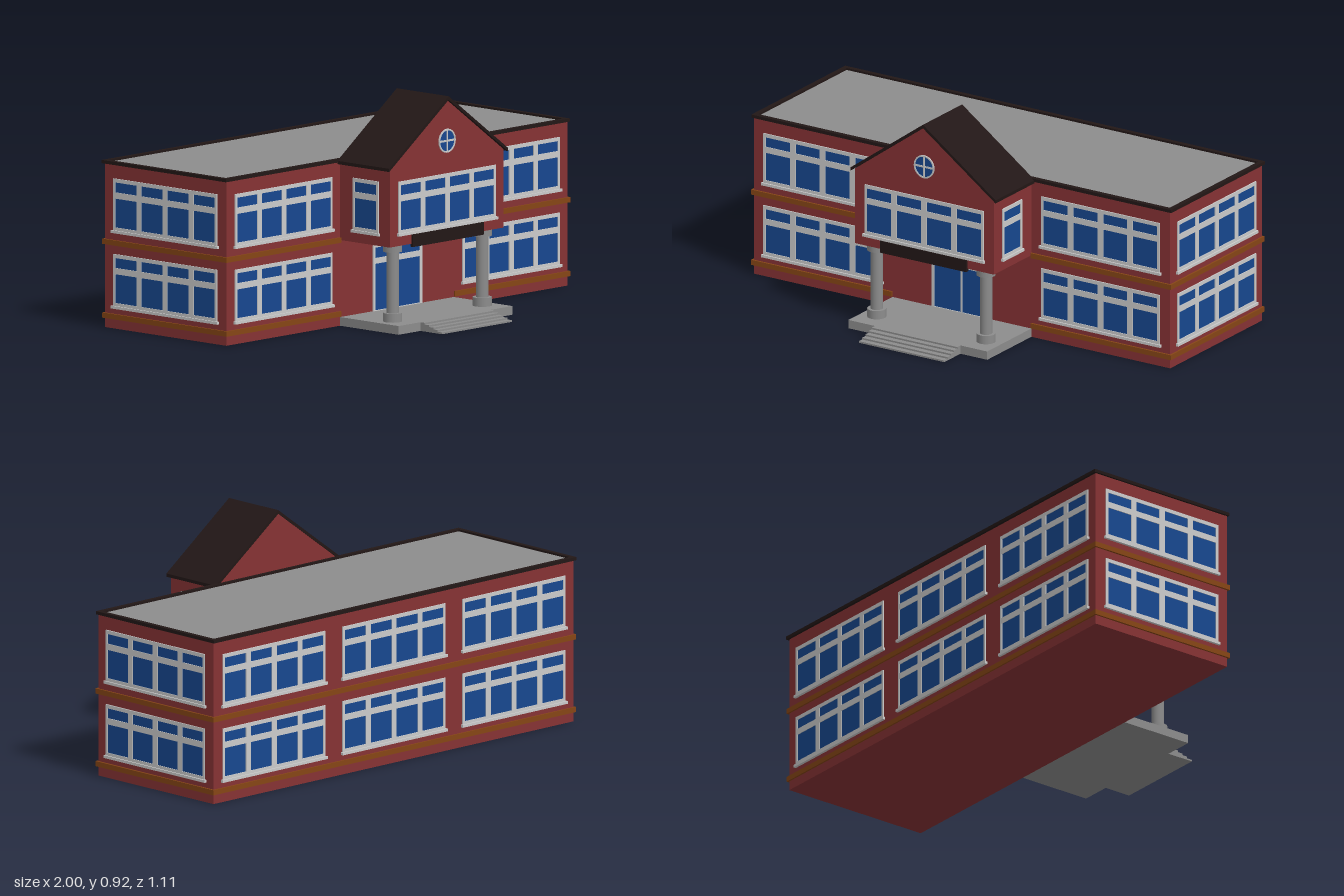
import * as THREE from 'three';

const mat = (color) => new THREE.MeshStandardMaterial({ color });

export function createModel() {
  const model = new THREE.Group();
  const brick = mat(0x863234), trim = mat(0xcccccc), stone = mat(0x8c8c8c);
  const glass = mat(0x17478f), brown = mat(0x864515), dark = mat(0x221716);

  const add = (name, geometry, material, parent = model) => {
    const mesh = new THREE.Mesh(geometry, material);
    mesh.name = name;
    parent.add(mesh);
    return mesh;
  };
  // Box given by its minimum and maximum corners
  const box = (name, material, x0, x1, y0, y1, z0, z1, parent) => {
    const mesh = add(name, new THREE.BoxGeometry(x1 - x0, y1 - y0, z1 - z0), material, parent);
    mesh.position.set((x0 + x1) / 2, (y0 + y1) / 2, (z0 + z1) / 2);
    return mesh;
  };
  const polygon = (points) => new THREE.Shape(points.map(([x, y]) => new THREE.Vector2(x, y)));
  const rect = (x0, x1, y0, y1) => [[x0, y0], [x1, y0], [x1, y1], [x0, y1]];
  const extrude = (shape, depth) =>
    new THREE.ExtrudeGeometry(shape, { depth, bevelEnabled: false, curveSegments: 16 });
  const framed = (outline, holes) => {
    const shape = polygon(outline);
    holes.forEach((h) => shape.holes.push(polygon(h)));
    return extrude(shape, 0.005);
  };

  // Window of one or more columns, each with a small pane over a tall pane
  const paneWidth = 0.116, pitch = 0.142;
  function addWindow(name, columns, x, y, z, turn) {
    const group = new THREE.Group();
    group.name = name;
    const half = (columns * pitch - 0.004) / 2;
    const holes = [];
    for (let i = 0; i < columns; i++) {
      const c = (i - (columns - 1) / 2) * pitch;
      holes.push(rect(c - paneWidth / 2, c + paneWidth / 2, 0.018, 0.134));
      holes.push(rect(c - paneWidth / 2, c + paneWidth / 2, 0.159, 0.199));
    }
    add('windowFrame', framed(rect(-half, half, 0, 0.214), holes), trim, group);
    box('windowGlass', glass, -half + 0.004, half - 0.004, 0.004, 0.21, -0.002, 0.002, group);
    box('windowSill', trim, -half - 0.007, half + 0.007, -0.005, 0.006, 0, 0.011, group);
    group.position.set(x, y, z);
    group.rotation.y = turn;
    model.add(group);
  }

  // Main block with flat roof and raised dark rim
  box('mainWalls', brick, -0.99, 0.99, 0, 0.66, -0.54, 0.12);
  box('flatRoof', stone, -0.98, 0.98, 0.655, 0.664, -0.535, 0.115);
  for (const [z0, z1] of [[-0.55, -0.53], [0.105, 0.125]])
    box('roofRim', dark, -0.998, 0.998, 0.659, 0.672, z0, z1);
  for (const s of [-1, 1])
    box('roofRim', dark, s * 0.988 - 0.01, s * 0.988 + 0.01, 0.659, 0.672, -0.53, 0.105);

  // Brown bands around the block, broken at the entrance
  for (const y of [0.038, 0.335]) {
    box('wallBand', brown, -0.998, 0.998, y, y + 0.021, -0.547, -0.53);
    for (const s of [-1, 1]) {
      box('wallBand', brown, s * 0.989 - 0.009, s * 0.989 + 0.009, y, y + 0.021, -0.53, 0.11);
      box('wallBand', brown, s * 0.664 - 0.334, s * 0.664 + 0.334, y, y + 0.021, 0.11, 0.128);
    }
  }

  // Windows on both floors of every wall
  for (const y of [0.086, 0.39]) {
    for (const s of [-1, 1]) {
      addWindow('frontWindow', 4, s * 0.66, y, 0.12, 0);
      addWindow('sideWindow', 4, s * 0.99, y, -0.21, s * Math.PI / 2);
    }
    for (const x of [-0.66, 0, 0.66]) addWindow('backWindow', 4, x, y, -0.54, Math.PI);
  }

  // Projecting entrance block with gable
  const gable = polygon([[-0.33, 0.345], [0.33, 0.345], [0.33, 0.661], [0, 0.9], [-0.33, 0.661]]);
  add('entranceBlock', extrude(gable, 0.27), brick).position.z = 0.12;
  const roof = polygon([[-0.345, 0.652], [0, 0.9], [0.345, 0.652],
    [0.345, 0.665], [0, 0.915], [-0.345, 0.665]]);
  add('gableRoof', extrude(roof, 0.282), dark).position.z = 0.119;
  addWindow('entranceWindow', 4, 0, 0.39, 0.39, 0);
  for (const s of [-1, 1])
    addWindow('entranceSideWindow', 1, s * 0.33, 0.39, 0.262, s * Math.PI / 2);
  box('signBoard', dark, -0.205, 0.205, 0.333, 0.383, 0.385, 0.4);

  // Round gable window
  const round = new THREE.Group();
  round.name = 'roundWindow';
  round.position.set(0, 0.735, 0.39);
  model.add(round);
  add('roundGlass', new THREE.CylinderGeometry(0.044, 0.044, 0.004, 32), glass, round).rotation.x = Math.PI / 2;
  const ring = new THREE.Shape().absarc(0, 0, 0.048, 0, Math.PI * 2);
  ring.holes.push(new THREE.Path().absarc(0, 0, 0.042, 0, Math.PI * 2));
  add('roundFrame', extrude(ring, 0.005), trim, round);
  box('roundBar', trim, -0.043, 0.043, -0.004, 0.004, 0, 0.004, round);
  box('roundBar', trim, -0.004, 0.004, -0.043, 0.043, 0, 0.0045, round);

  // Double door with transom panes
  const door = new THREE.Group();
  door.name = 'entranceDoor';
  door.position.z = 0.12;
  model.add(door);
  const doorHoles = [[-0.129, -0.003], [0.003, 0.129]].flatMap(([a, b]) =>
    [rect(a, b, 0.038, 0.225), rect(a, b, 0.248, 0.29)]);
  add('doorFrame', framed(rect(-0.142, 0.142, 0.034, 0.3), doorHoles), trim, door);
  box('doorPanels', glass, -0.138, 0.138, 0.036, 0.296, -0.002, 0.002, door);

  // Porch platform and steps
  box('porchFloor', stone, -0.33, 0.33, 0, 0.035, 0.12, 0.438);
  for (let i = 0; i < 5; i++)
    box('step', stone, -0.203, 0.203, i * 0.007, (i + 1) * 0.007, 0.43, 0.555 - i * 0.0235);

  // Columns turned from one stepped profile
  const profile = [[0, 0.035], [0.038, 0.035], [0.038, 0.07], [0.025, 0.07],
    [0.025, 0.316], [0.038, 0.316], [0.038, 0.346], [0, 0.346]];
  for (const s of [-1, 1]) {
    const column = new THREE.Group();
    column.name = 'column';
    column.position.set(s * 0.26, 0, 0.34);
    for (let i = 0; i < profile.length - 1; i++) {
      const points = [profile[i], profile[i + 1]].map(([r, y]) => new THREE.Vector2(r, y));
      add('columnPart', new THREE.LatheGeometry(points, 24), stone, column);
    }
    model.add(column);
  }
  return model;
}
